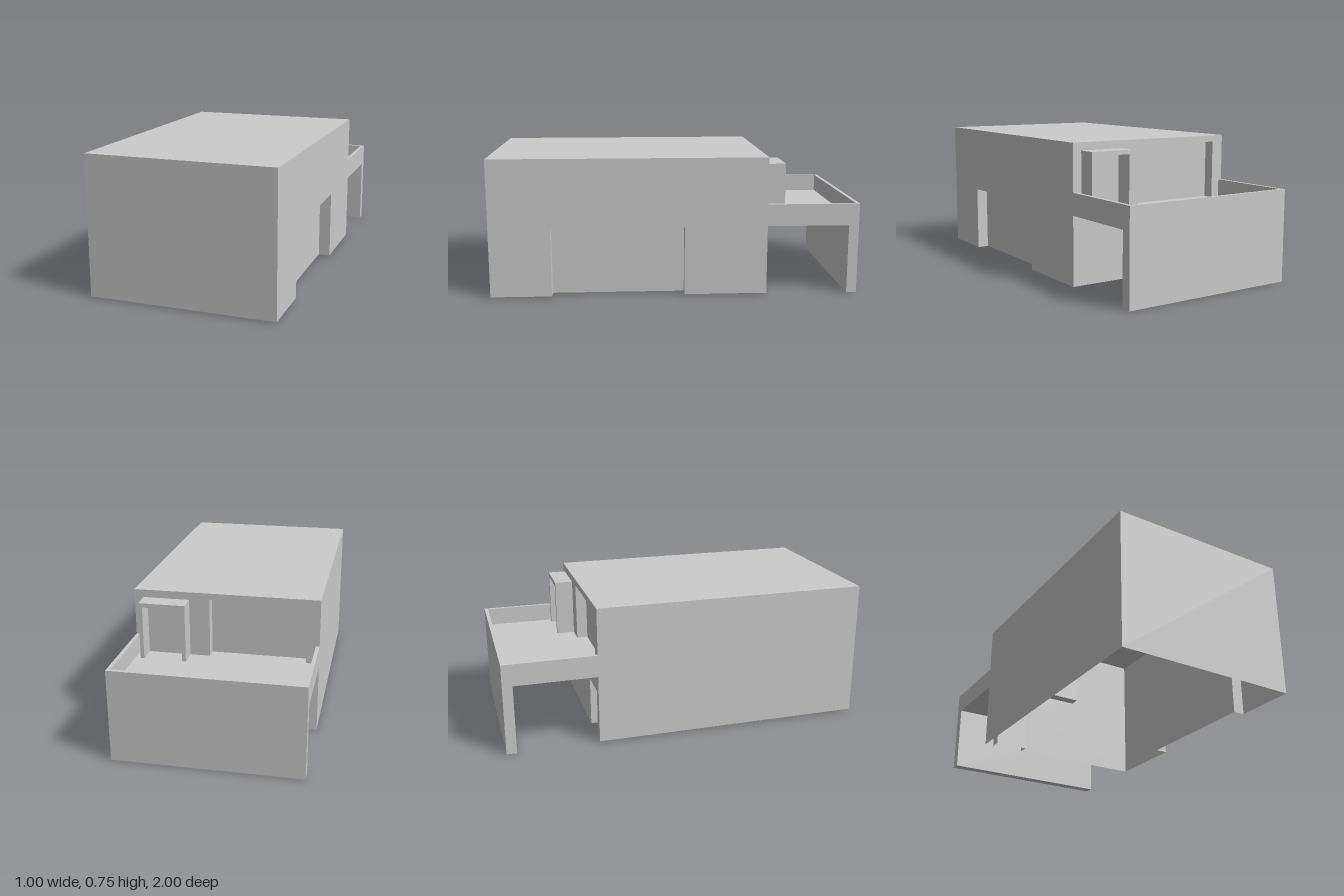
import * as THREE from 'three';
import { mergeGeometries } from 'three/addons/utils/BufferGeometryUtils.js';

const solid = new THREE.MeshStandardMaterial({ color: 0xcccccc });
const thin = new THREE.MeshStandardMaterial({ color: 0xcccccc, side: THREE.DoubleSide });

function add(group, name, geometry, material) {
  const mesh = new THREE.Mesh(geometry, material);
  mesh.name = name;
  group.add(mesh);
}

// Solid block given by its extents
function block(group, name, x0, x1, y0, y1, z0, z1) {
  const g = new THREE.BoxGeometry(x1 - x0, y1 - y0, z1 - z0);
  g.translate((x0 + x1) / 2, (y0 + y1) / 2, (z0 + z1) / 2);
  add(group, name, g, solid);
}

// Thin-walled box; the sides listed in `open` are left out
function shell(group, name, [x0, x1, y0, y1, z0, z1], open) {
  const w = x1 - x0, h = y1 - y0, d = z1 - z0;
  const cx = (x0 + x1) / 2, cy = (y0 + y1) / 2, cz = (z0 + z1) / 2;
  const q = Math.PI / 2;
  const sides = {
    front: () => new THREE.PlaneGeometry(w, h).translate(cx, cy, z1),
    back: () => new THREE.PlaneGeometry(w, h).rotateY(Math.PI).translate(cx, cy, z0),
    left: () => new THREE.PlaneGeometry(d, h).rotateY(q).translate(x1, cy, cz),
    right: () => new THREE.PlaneGeometry(d, h).rotateY(-q).translate(x0, cy, cz),
    top: () => new THREE.PlaneGeometry(w, d).rotateX(-q).translate(cx, y1, cz),
    bottom: () => new THREE.PlaneGeometry(w, d).rotateX(q).translate(cx, y0, cz),
  };
  const kept = Object.keys(sides).filter((s) => !open.includes(s));
  add(group, name, mergeGeometries(kept.map((s) => sides[s]())), thin);
}

// Flat wall with a notch rising from its bottom edge
function notchedWall(x0, x1, y0, y1, n0, n1, notchTop) {
  return new THREE.Shape([
    [x0, y0], [n0, y0], [n0, notchTop], [n1, notchTop],
    [n1, y0], [x1, y0], [x1, y1], [x0, y1],
  ].map(([x, y]) => new THREE.Vector2(x, y)));
}

export function createModel() {
  const model = new THREE.Group();
  model.name = 'model';
  const base = 0.005, roof = 0.755;

  // Hollow main body, open underneath
  const body = new THREE.Group();
  body.name = 'body';
  model.add(body);
  shell(body, 'bodyShell', [-0.5, 0.5, base, roof, -0.5, 1], ['bottom', 'left', 'back']);

  // Side wall with its wide recess
  const side = new THREE.ShapeGeometry(notchedWall(-1, 0.5, base, roof, -0.67, 0.05, 0.38));
  side.rotateY(Math.PI / 2).translate(0.5, 0, 0);
  add(body, 'sideWall', side, thin);
  shell(body, 'sideRecess', [0.435, 0.5, base, 0.38, -0.05, 0.67], ['left', 'bottom']);

  // Rear wall with a low recess and an upper recess
  const rear = notchedWall(-0.5, 0.5, base, roof, -0.45, -0.264, 0.28);
  rear.holes.push(new THREE.Path([
    [-0.43, 0.4], [-0.43, 0.72], [0.09, 0.72], [0.09, 0.4],
  ].map(([x, y]) => new THREE.Vector2(x, y))));
  add(body, 'rearWall', new THREE.ShapeGeometry(rear).translate(0, 0, -0.5), thin);
  shell(body, 'lowRearRecess', [-0.45, -0.264, base, 0.28, -0.5, -0.44], ['back', 'bottom']);
  shell(body, 'upperRearRecess', [-0.43, 0.09, 0.4, 0.72, -0.5, -0.44], ['back']);

  // Rear tray: floor, rims and the upright end panel
  const tray = new THREE.Group();
  tray.name = 'rearTray';
  model.add(tray);
  block(tray, 'trayFloor', -0.48, 0.48, 0.38, 0.4, -0.98, -0.5);
  for (const s of [-1, 1]) {
    block(tray, 'traySideRim', s * 0.49 - 0.01, s * 0.49 + 0.01, 0.38, 0.5, -1, -0.5);
  }
  block(tray, 'trayEndRim', -0.48, 0.48, 0.38, 0.5, -1, -0.98);
  block(tray, 'endPanel', -0.5, 0.5, 0, 0.38, -1, -0.945);

  // Small hood on the tray, open to the back
  const hood = new THREE.Group();
  hood.name = 'hood';
  model.add(hood);
  block(hood, 'hoodTop', 0.2, 0.45, 0.69, 0.713, -0.6, -0.5);
  block(hood, 'hoodRightSide', 0.2, 0.22, 0.4, 0.69, -0.6, -0.5);
  block(hood, 'hoodLeftSide', 0.43, 0.45, 0.4, 0.69, -0.6, -0.5);

  return model;
}
